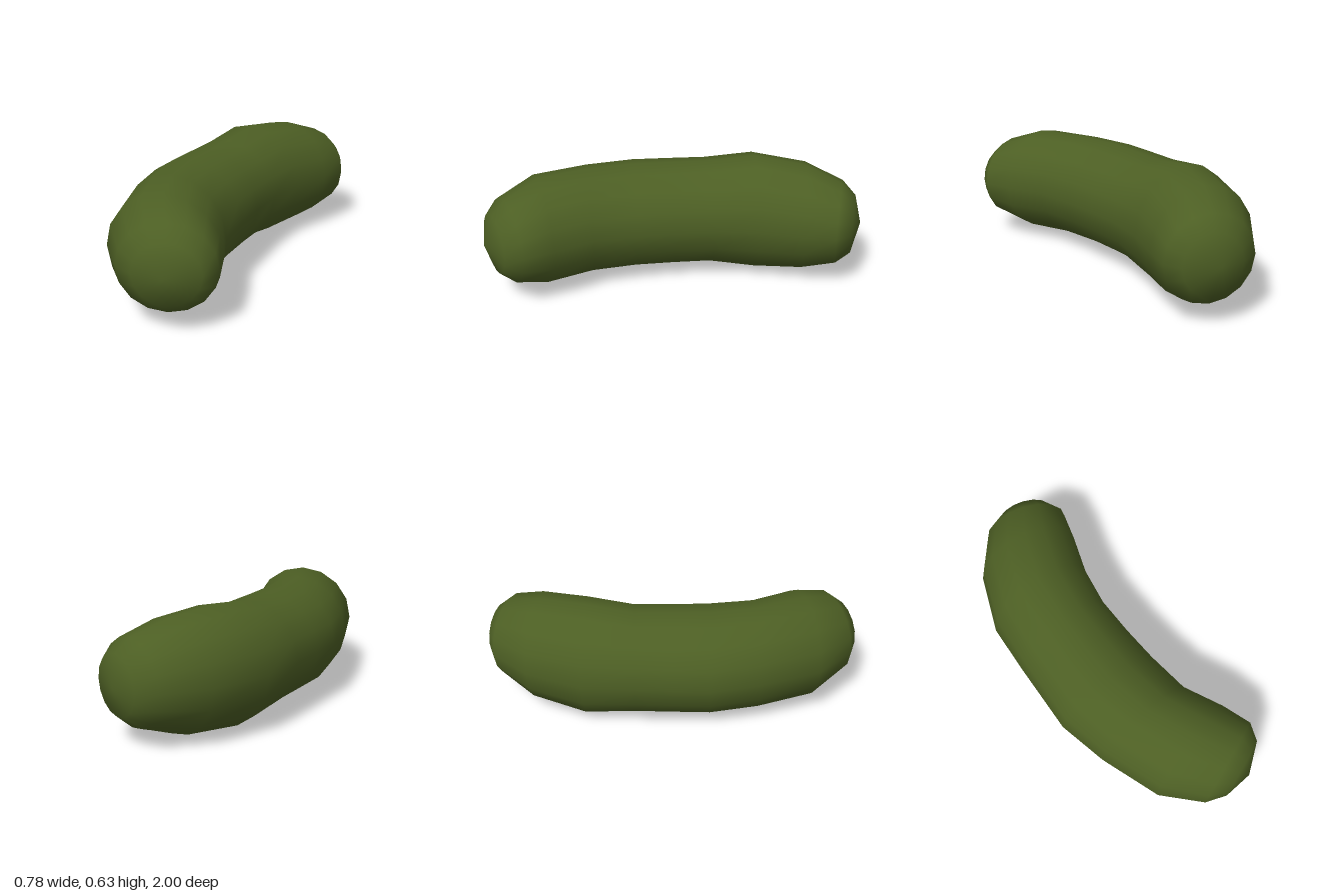
import * as THREE from 'three';

const SIDES = 16;
const MID_Y = 0.317;

// Cross-sections from back to front: [right x, right z, left x, left z, half height]
const RINGS = [
  [0.05, -1.0, 0.335, -0.9, 0.155],
  [-0.06, -0.96, 0.37, -0.81, 0.222],
  [-0.23, -0.77, 0.325, -0.66, 0.29],
  [-0.355, -0.47, 0.245, -0.44, 0.317],
  [-0.375, -0.2, 0.205, -0.21, 0.286],
  [-0.385, 0.0, 0.205, 0.0, 0.286],
  [-0.395, 0.19, 0.215, 0.2, 0.286],
  [-0.34, 0.45, 0.24, 0.43, 0.286],
  [-0.23, 0.77, 0.335, 0.63, 0.286],
  [-0.06, 0.955, 0.39, 0.78, 0.222],
  [0.05, 0.995, 0.355, 0.875, 0.155],
];
const BACK_TIP = [0.18, MID_Y, -0.995];
const FRONT_TIP = [0.21, MID_Y, 0.985];

// Skin of elliptical rings closed by a point at each end
function loftBody() {
  const positions = [];
  const indices = [];
  for (const [x0, z0, x1, z1, h] of RINGS) {
    for (let j = 0; j < SIDES; j++) {
      const a = (j / SIDES) * Math.PI * 2;
      const t = (1 + Math.cos(a)) / 2;
      positions.push(x0 + (x1 - x0) * t, MID_Y + h * Math.sin(a), z0 + (z1 - z0) * t);
    }
  }
  const back = RINGS.length * SIDES;
  const front = back + 1;
  const last = back - SIDES;
  positions.push(...BACK_TIP, ...FRONT_TIP);

  for (let j = 0; j < SIDES; j++) {
    const k = (j + 1) % SIDES;
    for (let r = 0; r < last; r += SIDES) {
      const a = r + j, b = r + k, c = a + SIDES, d = b + SIDES;
      indices.push(a, b, c, b, d, c);
    }
    indices.push(back, k, j, front, last + j, last + k);
  }

  const geometry = new THREE.BufferGeometry();
  geometry.setAttribute('position', new THREE.Float32BufferAttribute(positions, 3));
  geometry.setIndex(indices);
  geometry.computeVertexNormals();
  return geometry;
}

export function createModel() {
  const pickleGreen = new THREE.MeshStandardMaterial({ color: 0x4d5f24 });
  pickleGreen.name = 'pickleGreen';

  const group = new THREE.Group();
  group.name = 'pickle';
  const body = new THREE.Mesh(loftBody(), pickleGreen);
  body.name = 'pickleBody';
  group.add(body);
  return group;
}
